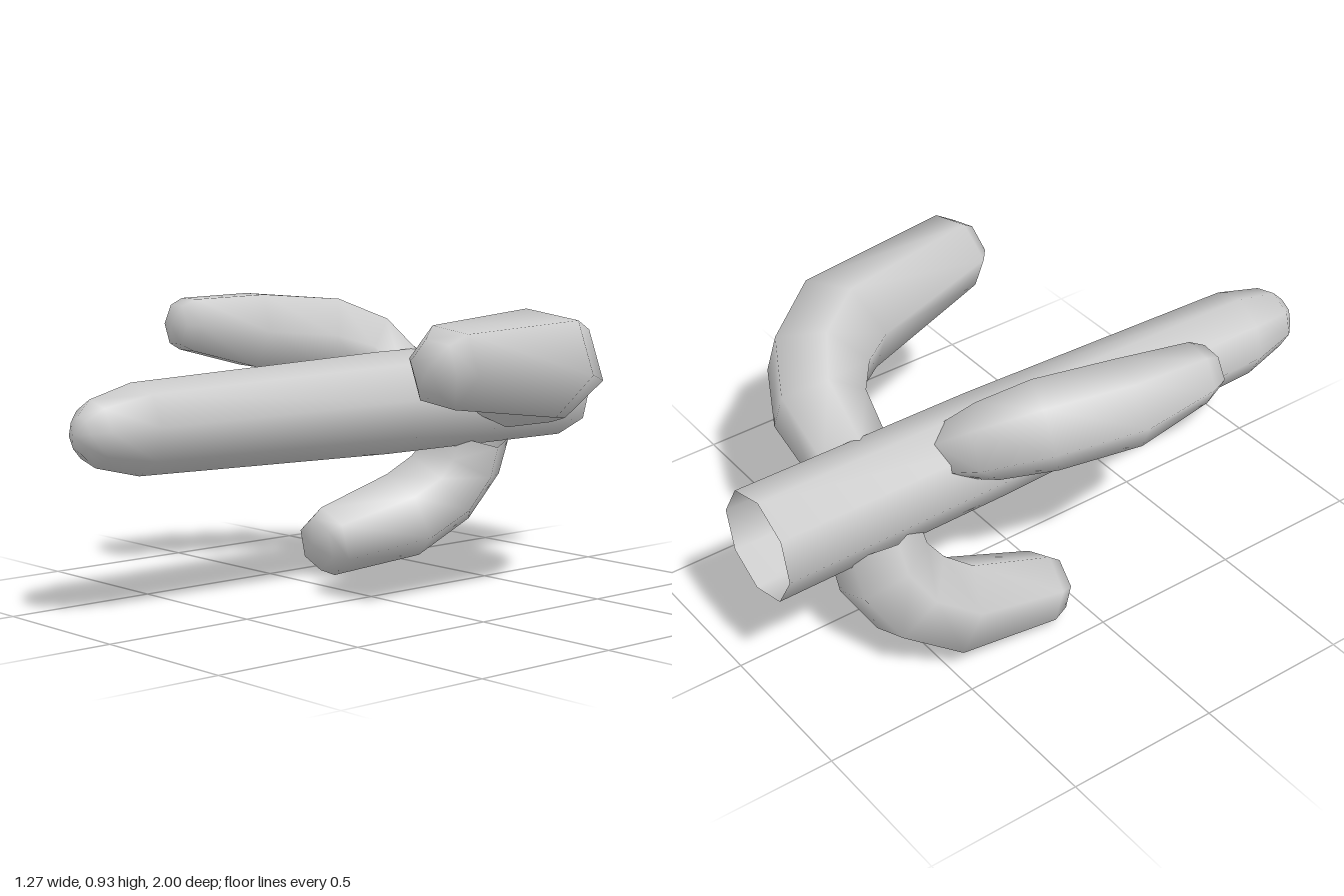
import * as THREE from 'three';

const material = new THREE.MeshStandardMaterial({ color: 0xcccccc, side: THREE.DoubleSide });

// Tapered limb swept through [x, y, z, radius] sections and closed by a rounded tip.
// "normal" is the direction at right angles to the plane the limb bends in.
function limb(name, sections, normal, sides, phase, tip) {
  const N = normal.clone().normalize();
  const centres = sections.map(([x, y, z]) => new THREE.Vector3(x, y, z));
  const last = centres.length - 1;
  const pos = [], index = [];
  centres.forEach((c, i) => {
    const T = centres[Math.min(i + 1, last)].clone().sub(c).normalize();
    if (i > 0) T.add(c.clone().sub(centres[i - 1]).normalize());
    const B = new THREE.Vector3().crossVectors(N, T).normalize();
    for (let s = 0; s < sides; s++) {
      const a = phase + (s / sides) * Math.PI * 2;
      const p = c.clone()
        .addScaledVector(B, Math.cos(a) * sections[i][3])
        .addScaledVector(N, Math.sin(a) * sections[i][3]);
      pos.push(p.x, p.y, p.z);
    }
  });
  for (let i = 0; i < last; i++) {
    for (let s = 0; s < sides; s++) {
      const a = i * sides + s, b = i * sides + (s + 1) % sides;
      index.push(a, b, b + sides, a, b + sides, a + sides);
    }
  }
  // Tip point
  pos.push(...tip);
  for (let s = 0; s < sides; s++) {
    index.push(last * sides + s, last * sides + (s + 1) % sides, (last + 1) * sides);
  }
  const geometry = new THREE.BufferGeometry();
  geometry.setAttribute('position', new THREE.Float32BufferAttribute(pos, 3));
  geometry.setIndex(index);
  geometry.computeVertexNormals();
  const mesh = new THREE.Mesh(geometry, material);
  mesh.name = name;
  return mesh;
}

// Six-sided arm that leaves the trunk along "radial" and bends forward to +z
function arm(name, radial, sections, tip) {
  const normal = new THREE.Vector3(-radial[1], radial[0], 0);
  return limb(name, sections, normal, 6, Math.PI / 6, tip);
}

export function createModel() {
  const group = new THREE.Group();
  group.name = 'branchingStem';

  // Trunk, open at the back
  group.add(limb('trunk', [
    [-0.167, 0.58, -1, 0.17],
    [-0.167, 0.58, -0.2, 0.165],
    [-0.168, 0.58, 0.78, 0.138],
    [-0.168, 0.58, 0.93, 0.1],
    [-0.168, 0.58, 0.975, 0.055],
  ], new THREE.Vector3(0, 1, 0), 8, 0.13, [-0.168, 0.58, 1]));

  // Large arm on the left
  group.add(arm('leftArm', [0.93, 0.37], [
    [-0.04, 0.6, -0.59, 0.125],
    [0.18, 0.665, -0.56, 0.15],
    [0.31, 0.715, -0.48, 0.168],
    [0.415, 0.745, -0.325, 0.175],
    [0.513, 0.773, 0.18, 0.128],
    [0.52, 0.777, 0.228, 0.085],
  ], [0.52, 0.78, 0.245]));

  // Upper arm on the right
  group.add(arm('rightArm', [-0.87, 0.49], [
    [-0.225, 0.665, -0.36, 0.09],
    [-0.325, 0.735, -0.31, 0.12],
    [-0.415, 0.785, -0.17, 0.14],
    [-0.5, 0.81, 0.07, 0.135],
    [-0.535, 0.838, 0.3, 0.095],
    [-0.54, 0.84, 0.345, 0.07],
  ], [-0.54, 0.84, 0.365]));

  // Lower arm
  group.add(arm('lowerArm', [-0.4, -0.92], [
    [-0.205, 0.46, -0.635, 0.14],
    [-0.235, 0.36, -0.625, 0.148],
    [-0.275, 0.255, -0.56, 0.155],
    [-0.32, 0.17, -0.43, 0.152],
    [-0.352, 0.112, -0.125, 0.115],
    [-0.357, 0.108, -0.08, 0.088],
  ], [-0.36, 0.108, -0.06]));

  return group;
}
